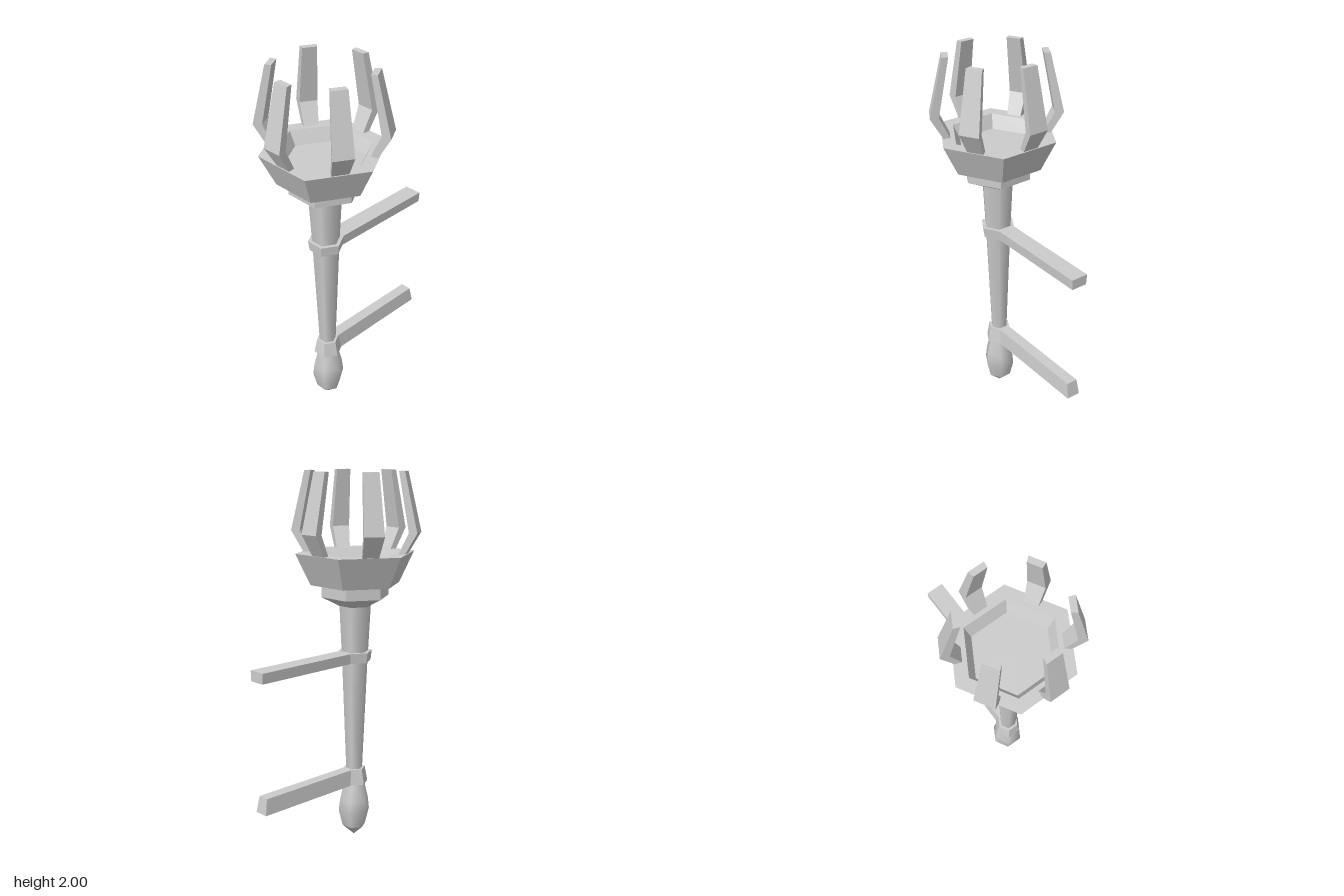
import * as THREE from 'three';

export function createModel() {
  const model = new THREE.Group();
  const axisZ = 0.17; // the torch stands forward of the mounting arms
  const smooth = new THREE.MeshStandardMaterial({ color: 0xcccccc, side: THREE.DoubleSide });
  const flat = new THREE.MeshStandardMaterial({ color: 0xcccccc, flatShading: true, side: THREE.DoubleSide });

  function add(name, geometry, material) {
    const mesh = new THREE.Mesh(geometry, material);
    mesh.name = name;
    model.add(mesh);
    return mesh;
  }

  // Six-sided turned part from [radius, height] pairs, corners on the x axis
  function hexPart(name, profile, material) {
    const points = profile.map(([r, y]) => new THREE.Vector2(r, y));
    add(name, new THREE.LatheGeometry(points, 6, Math.PI / 6), material).position.z = axisZ;
  }

  // Handle
  hexPart('pommelTip', [[0, 0], [0.065, 0.06]], smooth);
  hexPart('pommel', [[0.065, 0.06], [0.087, 0.15], [0.08, 0.215], [0.056, 0.32]], smooth);
  hexPart('shaft', [[0.045, 0.39], [0.07, 1.0], [0.086, 1.31]], smooth);
  hexPart('collarTaper', [[0.086, 1.305], [0.183, 1.355]], smooth);
  hexPart('collar', [[0.183, 1.355], [0.183, 1.42]], flat);

  // Cup with a shallow recess
  hexPart('cup', [[0, 1.42], [0.24, 1.42], [0.32, 1.585], [0.245, 1.585], [0.208, 1.515], [0, 1.515]], flat);

  // Bands round the shaft, each with an arm running back from its rear face
  const bands = [
    { name: 'upper', y0: 1.005, y1: 1.06, r0: 0.087, r1: 0.094, end0: -0.5, end1: -0.5 },
    { name: 'lower', y0: 0.315, y1: 0.4, r0: 0.076, r1: 0.06, end0: -0.49, end1: -0.475 },
  ];
  for (const b of bands) {
    hexPart(b.name + 'Band', [[0, b.y0], [b.r0, b.y0], [b.r1, b.y1], [0, b.y1]], flat);
    const arm = new THREE.BoxGeometry(1, 1, 1);
    const p = arm.attributes.position;
    for (let i = 0; i < p.count; i++) {
      const top = p.getY(i) > 0;
      const r = top ? b.r1 : b.r0;
      const front = axisZ - r * Math.cos(Math.PI / 6);
      const z = p.getZ(i) > 0 ? front : (top ? b.end1 : b.end0);
      p.setXYZ(i, p.getX(i) * r, top ? b.y1 : b.y0, z);
    }
    arm.computeVertexNormals();
    add(b.name + 'Arm', arm, flat);
  }

  // Bent prongs: side profile as [distance from axis, height], wider further out
  const side = new THREE.Shape([
    [0.262, 1.57], [0.333, 1.695], [0.262, 2.0], [0.23, 2.0], [0.288, 1.695], [0.228, 1.57],
  ].map(([r, y]) => new THREE.Vector2(r, y)));
  const prong = new THREE.ExtrudeGeometry(side, { depth: 1, bevelEnabled: false });
  prong.translate(0, 0, -0.5);
  prong.rotateY(-Math.PI / 2);
  const pos = prong.attributes.position;
  for (let i = 0; i < pos.count; i++) {
    pos.setX(i, pos.getX(i) * 0.315 * pos.getZ(i) + 0.007);
  }
  prong.computeVertexNormals();
  for (let i = 0; i < 6; i++) {
    const mesh = add('prong' + (i + 1), prong, flat);
    mesh.position.z = axisZ;
    mesh.rotation.y = (i * Math.PI) / 3;
  }

  return model;
}
